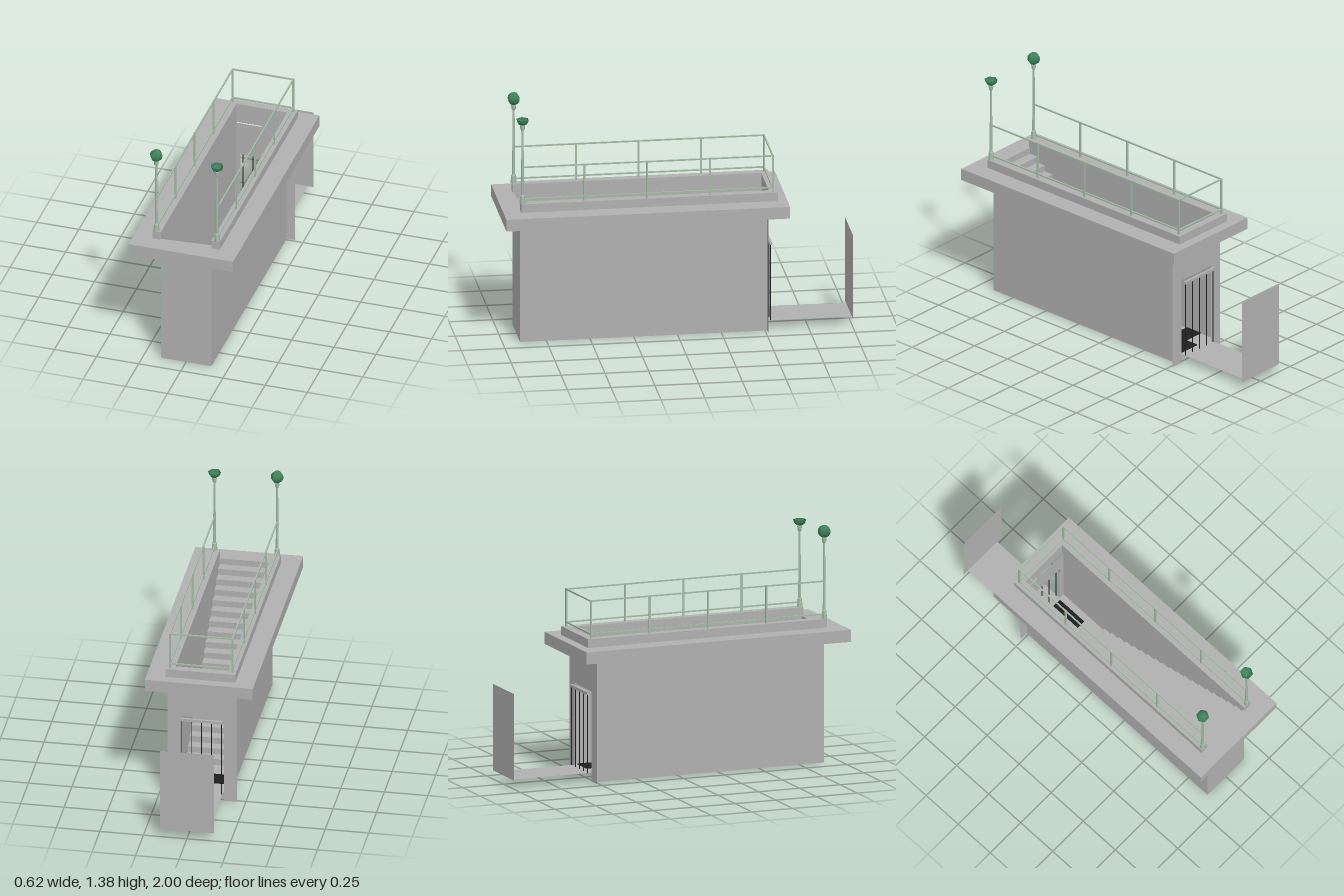
import * as THREE from 'three';

const D = THREE.DoubleSide;
const mat = (name, color) => {
  const m = new THREE.MeshStandardMaterial({ color, side: D, flatShading: true });
  m.name = name;
  return m;
};

export function createModel() {
  const concrete = mat('concrete', 0xb0b0b0);
  const paleGreen = mat('paleGreenMetal', 0xa4bba6);
  const globeGreen = mat('globeGreen', 0x3f8259);
  const black = mat('black', 0x1e1e1e);
  const root = new THREE.Group();
  root.name = 'stairEntrance';

  const add = (name, geo, m, x = 0, y = 0, z = 0, parent = root) => {
    const mesh = new THREE.Mesh(geo, m);
    mesh.name = name;
    mesh.position.set(x, y, z);
    parent.add(mesh);
    return mesh;
  };
  // Box given by its lower and upper limits
  const span = (name, m, x0, x1, y0, y1, z0, z1, parent) =>
    add(name, new THREE.BoxGeometry(x1 - x0, y1 - y0, z1 - z0), m,
      (x0 + x1) / 2, (y0 + y1) / 2, (z0 + z1) / 2, parent);
  const outline = (pts) => new THREE.Shape(pts.map(([x, z]) => new THREE.Vector2(x, -z)));
  // Horizontal slab from a plan outline in x and z
  const slabGeo = (shape, h) =>
    new THREE.ExtrudeGeometry(shape, { depth: h, bevelEnabled: false }).rotateX(-Math.PI / 2);
  const floorPlane = (w, d) => new THREE.PlaneGeometry(w, d).rotateX(-Math.PI / 2);
  const group = (name) => {
    const g = new THREE.Group();
    g.name = name;
    root.add(g);
    return g;
  };

  // Street slab with the stairwell opening
  const street = outline([[-0.31, 1], [0.31, 1], [0.31, -0.62], [-0.31, -0.62]]);
  street.holes.push(outline([[-0.15, 0.89], [-0.15, -0.52], [0.15, -0.52], [0.15, 0.89]]));
  add('streetSlab', slabGeo(street, 0.07), concrete, 0, 0.72, 0);

  // U-shaped curb, open at the front
  const curb = outline([[-0.2, 0.9], [-0.15, 0.9], [-0.15, -0.52], [0.15, -0.52],
    [0.15, 0.9], [0.2, 0.9], [0.2, -0.565], [-0.2, -0.565]]);
  add('curb', slabGeo(curb, 0.05), concrete, 0, 0.79, 0);

  // Stairwell walls
  for (const s of [-1, 1]) {
    add('sideWall', new THREE.PlaneGeometry(1.41, 0.72).rotateY(s * Math.PI / 2),
      concrete, s * 0.15, 0.36, 0.195);
  }
  add('frontWall', new THREE.PlaneGeometry(0.3, 0.72), concrete, 0, 0.36, 0.9);

  // Back wall with a doorway
  const back = new THREE.Shape([[-0.2, 0], [-0.125, 0], [-0.125, 0.52], [0.125, 0.52],
    [0.125, 0], [0.2, 0], [0.2, 0.72], [-0.2, 0.72]].map(([x, y]) => new THREE.Vector2(x, y)));
  add('doorwayWall', new THREE.ShapeGeometry(back), concrete, 0, 0, -0.512);

  // Stairs, rising to the front
  const stairs = group('stairs');
  const count = 19, zStart = -0.19, run = 1.08 / count, rise = 0.037, floorY = 0.05;
  for (let i = 0; i < count; i++) {
    const z = zStart + i * run, y = floorY + (i + 1) * rise;
    add('riser', new THREE.PlaneGeometry(0.3, y), concrete, 0, y / 2, z, stairs);
    add('tread', floorPlane(0.3, run), concrete, 0, y, z + run / 2, stairs);
  }

  // Landing, passage floor and end panel
  add('landing', floorPlane(0.3, 0.32), concrete, 0, floorY, -0.35);
  add('passageFloor', floorPlane(0.24, 0.49), concrete, 0, floorY, -0.755);
  add('endPanel', new THREE.PlaneGeometry(0.31, 0.5), concrete, 0, 0.3, -1);

  // Dark L-shaped floor mat
  const mat2d = outline([[-0.145, -0.31], [0.11, -0.31], [0.11, -0.5], [-0.02, -0.5],
    [-0.02, -0.415], [-0.145, -0.415]]);
  add('floorMat', slabGeo(mat2d, 0.005), black, 0, floorY + 0.003, 0);

  // Barred gate in the doorway
  const gate = group('gate');
  span('gateHeader', concrete, -0.125, 0.125, 0.502, 0.518, -0.542, -0.528, gate);
  for (let i = 0; i < 5; i++) {
    const x = -0.116 + i * 0.058;
    span('gateBar', black, x - 0.002, x + 0.002, floorY, 0.503, -0.537, -0.533, gate);
  }

  // Railing on three sides
  const railing = group('railing');
  const r = 0.004, railX = 0.18, railBack = -0.54;
  for (const y of [0.865, 1.055]) {
    for (const s of [-1, 1]) {
      span('sideRail', paleGreen, s * railX - r, s * railX + r, y - r, y + r, railBack, 0.89, railing);
    }
    span('backRail', paleGreen, -railX, railX, y - r, y + r, railBack - r, railBack + r, railing);
  }
  for (const s of [-1, 1]) {
    for (const z of [0.535, 0.178, -0.18, railBack]) {
      span('railPost', paleGreen, s * railX - 0.005, s * railX + 0.005, 0.84, 1.06,
        z - 0.005, z + 0.005, railing);
    }
  }

  // Lamp posts: a full globe on one side, a half globe on the other
  const profile = [[0.018, 0.84], [0.014, 0.885], [0.009, 0.89], [0.006, 1.275], [0.012, 1.28],
    [0.015, 1.305], [0, 1.307]].map(([x, y]) => new THREE.Vector2(x, y));
  for (const s of [-1, 1]) {
    const lamp = group(s < 0 ? 'globeLamp' : 'halfGlobeLamp');
    lamp.position.set(s * railX, 0, 0.89);
    add('lampPost', new THREE.LatheGeometry(profile, 6), paleGreen, 0, 0, 0, lamp);
    const globe = s < 0
      ? new THREE.SphereGeometry(0.037, 6, 8)
      : new THREE.SphereGeometry(0.037, 6, 4, 0, Math.PI * 2, Math.PI / 2, Math.PI / 2);
    add('lampGlobe', globe, globeGreen, 0, 1.343, 0, lamp);
  }
  return root;
}
